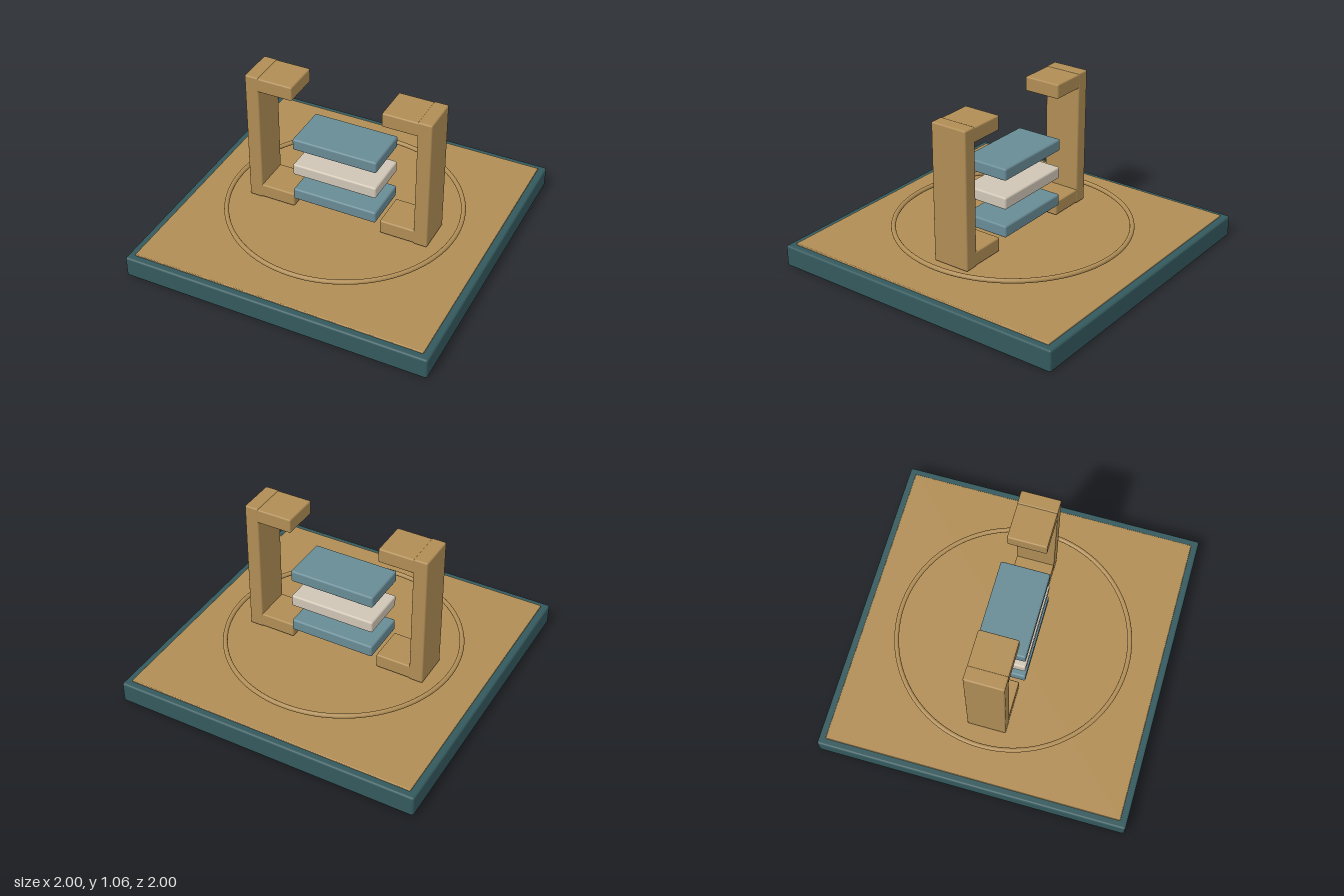
import * as THREE from 'three';
import { RoundedBoxGeometry } from 'three/addons/geometries/RoundedBoxGeometry.js';

const material = (name, color) => {
  const m = new THREE.MeshStandardMaterial({ color });
  m.name = name;
  return m;
};

export function createModel() {
  const model = new THREE.Group();
  model.name = 'displayStand';
  const teal = material('dark teal', 0x34595d);
  const bronze = material('bronze', 0xb08d55);
  const blue = material('dusty blue', 0x688b95);
  const cream = material('cream', 0xcfc5b5);

  // Rounded box given by its lower and upper bounds
  const block = (name, mat, [x0, y0, z0], [x1, y1, z1], radius, parent = model) => {
    const mesh = new THREE.Mesh(new RoundedBoxGeometry(x1 - x0, y1 - y0, z1 - z0, 3, radius), mat);
    mesh.name = name;
    mesh.position.set((x0 + x1) / 2, (y0 + y1) / 2, (z0 + z1) / 2);
    parent.add(mesh);
    return mesh;
  };

  // Square plinth with a thin inlaid top
  block('base', teal, [-1, 0, -1], [1, 0.14, 1], 0.014);
  block('topInlay', bronze, [-0.955, 0.13, -0.955], [0.955, 0.15, 0.955], 0.005);

  // Thin ring hovering just above the inlay
  const ring = new THREE.Mesh(new THREE.TorusGeometry(0.748, 0.015, 12, 96), bronze);
  ring.name = 'ring';
  ring.rotation.x = -Math.PI / 2;
  ring.position.y = 0.2;
  model.add(ring);

  // Pair of C-shaped brackets facing each other
  for (const [name, side] of [['leftBracket', 1], ['rightBracket', -1]]) {
    const bracket = new THREE.Group();
    bracket.name = name;
    const span = (a, b) => (side > 0 ? [a, b] : [-b, -a]);
    const [p0, p1] = span(0.525, 0.617);
    block('post', bronze, [p0, 0.155, -0.125], [p1, 1.06, 0.125], 0.01, bracket);
    const [a0, a1] = span(0.297, 0.54);
    block('lowerArm', bronze, [a0, 0.16, -0.124], [a1, 0.255, 0.124], 0.01, bracket);
    block('upperArm', bronze, [a0, 0.96, -0.124], [a1, 1.056, 0.124], 0.01, bracket);
    model.add(bracket);
  }

  // Three floating slabs stacked between the brackets
  [['lowerSlab', blue], ['middleSlab', cream], ['upperSlab', blue]].forEach(([name, mat], i) => {
    const y = 0.251 + i * 0.19;
    block(name, mat, [-0.283, y, -0.158], [0.283, y + 0.079, 0.158], 0.012);
  });

  return model;
}
